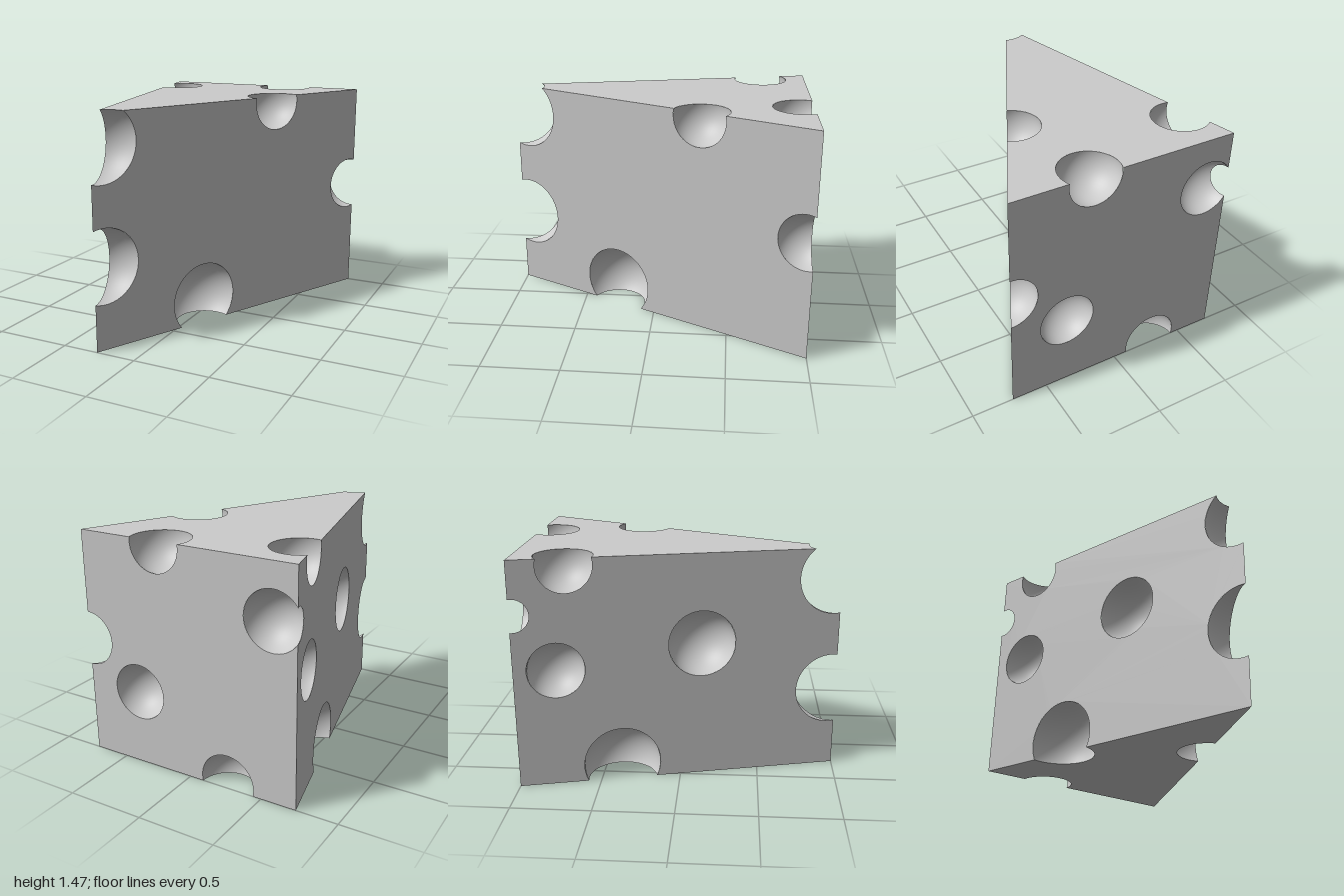
import * as THREE from 'three';

const V = (x, y, z) => new THREE.Vector3(x, y, z);
const HEIGHT = 1.465;

// Wedge outline seen from above: back right, back left, front tip
const OUTLINE = [[-0.733, -1], [0.733, -1], [-0.26, 1]];

// Spherical holes: x, y, z, radius
const HOLES = [
  [-0.2, 1.28, 0.95, 0.245],      // tip, upper
  [-0.2, 0.535, 0.95, 0.243],     // tip, lower
  [0.106, 0.16, 0.26, 0.245],     // left side, bottom edge
  [0.36, 1.425, -0.305, 0.185],   // left side, top edge
  [0.73, 0.77, -0.94, 0.183],     // left back corner
  [0.2, 1.44, -0.925, 0.185],     // back, top edge
  [0.36, 0.485, -1, 0.18],        // back, middle
  [-0.27, 0.04, -1, 0.18],        // back, bottom edge
  [-0.58, 1.125, -1.02, 0.185],   // right back corner
  [-0.58, 1.42, -0.69, 0.185],    // right side, top edge
  [-0.675, 0.767, -0.747, 0.178], // right side, near back
  [-0.463, 0.89, 0.137, 0.213],   // right side, middle
  [-0.584, 0.105, -0.364, 0.245], // right side, bottom edge
].map(([x, y, z, r]) => ({ c: V(x, y, z), r }));

// A flat face with its own 2D axes, from corners listed counter-clockwise
function makeFace(name, corners) {
  const o = corners[0];
  const u = corners[1].clone().sub(o).normalize();
  const n = u.clone().cross(corners[2].clone().sub(o)).normalize();
  const v = n.clone().cross(u);
  const to2D = (p) => {
    const d = p.clone().sub(o);
    return new THREE.Vector2(d.dot(u), d.dot(v));
  };
  const matrix = new THREE.Matrix4().makeBasis(u, v, n).setPosition(o);
  return { name, n, w: n.dot(o), to2D, matrix, poly: corners.map(to2D) };
}

// Clockwise arc between two angles, end points left out
function arc(circle, a0, sweep) {
  const steps = Math.max(2, Math.ceil(sweep / 0.13));
  const pts = [];
  for (let i = 1; i < steps; i++) {
    const a = a0 - (sweep * i) / steps;
    pts.push(new THREE.Vector2(circle.c.x + circle.r * Math.cos(a), circle.c.y + circle.r * Math.sin(a)));
  }
  return pts;
}

// Face polygon with the circles where the spheres cut it taken out
function faceGeometry(face) {
  const circles = [];
  for (const { c, r } of HOLES) {
    const d = face.n.dot(c) - face.w;
    if (Math.abs(d) < r) circles.push({ c: face.to2D(c), r: Math.sqrt(r * r - d * d), onEdge: false });
  }
  // Parts of the border left outside the circles
  const segments = [];
  face.poly.forEach((a, i) => {
    const b = face.poly[(i + 1) % face.poly.length];
    const len = a.distanceTo(b), dir = b.clone().sub(a).divideScalar(len);
    const cuts = [];
    for (const circle of circles) {
      const rel = circle.c.clone().sub(a);
      const mid = rel.dot(dir), off = rel.cross(dir);
      if (Math.abs(off) >= circle.r) continue;
      const half = Math.sqrt(circle.r ** 2 - off ** 2);
      if (mid + half <= 0 || mid - half >= len) continue;
      circle.onEdge = true;
      cuts.push({ t0: mid - half, t1: mid + half, circle });
    }
    cuts.sort((p, q) => p.t0 - q.t0);
    const at = (t) => a.clone().addScaledVector(dir, t);
    let t = 0;
    for (const cut of cuts) {
      if (cut.t0 > t) segments.push({ s: at(t), e: at(cut.t0), circle: cut.circle });
      t = Math.max(t, cut.t1);
    }
    if (t < len) segments.push({ s: at(t), e: at(len), circle: null });
  });
  // Join them with arcs that bite into the face
  const border = [];
  segments.forEach((seg, i) => {
    border.push(seg.s);
    if (!seg.circle) return;
    border.push(seg.e);
    const next = segments[(i + 1) % segments.length].s;
    const a0 = seg.e.clone().sub(seg.circle.c).angle();
    const a1 = next.clone().sub(seg.circle.c).angle();
    border.push(...arc(seg.circle, a0, (a0 - a1 + Math.PI * 2) % (Math.PI * 2)));
  });
  const shape = new THREE.Shape(border);
  // Circles wholly within the face become round holes
  for (const circle of circles) {
    const inside = face.poly.every((a, i) => {
      const b = face.poly[(i + 1) % face.poly.length];
      return b.clone().sub(a).cross(circle.c.clone().sub(a)) > 0;
    });
    if (inside && !circle.onEdge) shape.holes.push(new THREE.Path(arc(circle, 0, Math.PI * 2 + 0.13)
      .slice(0, -1)));
  }
  return new THREE.ShapeGeometry(shape).applyMatrix4(face.matrix);
}

// Keep the part of a polygon behind a face plane
function clip(poly, face) {
  const out = [];
  poly.forEach((p, i) => {
    const q = poly[(i + 1) % poly.length];
    const dp = face.n.dot(p) - face.w, dq = face.n.dot(q) - face.w;
    if (dp <= 0) out.push(p);
    if (dp * dq < 0) out.push(p.clone().lerp(q, dp / (dp - dq)));
  });
  return out;
}

// Inward-facing sphere wall, trimmed to the wedge
function bowlGeometry({ c, r }, faces) {
  const src = new THREE.SphereGeometry(r, 40, 26).translate(c.x, c.y, c.z).toNonIndexed().getAttribute('position');
  const pos = [], nor = [];
  const add = (p) => {
    const n = c.clone().sub(p).normalize();
    pos.push(p.x, p.y, p.z);
    nor.push(n.x, n.y, n.z);
  };
  for (let i = 0; i < src.count; i += 3) {
    let poly = [0, 1, 2].map((k) => new THREE.Vector3().fromBufferAttribute(src, i + k));
    for (const face of faces) poly = clip(poly, face);
    for (let k = 1; k + 1 < poly.length; k++) [poly[0], poly[k + 1], poly[k]].forEach(add);
  }
  const g = new THREE.BufferGeometry();
  g.setAttribute('position', new THREE.Float32BufferAttribute(pos, 3));
  g.setAttribute('normal', new THREE.Float32BufferAttribute(nor, 3));
  return g;
}

export function createModel() {
  const model = new THREE.Group();
  model.name = 'cheeseWedge';
  const material = new THREE.MeshStandardMaterial({ color: 0xcccccc });
  const add = (name, geometry) => {
    const mesh = new THREE.Mesh(geometry, material);
    mesh.name = name;
    model.add(mesh);
  };

  const low = OUTLINE.map(([x, z]) => V(x, 0, z));
  const high = OUTLINE.map(([x, z]) => V(x, HEIGHT, z));
  const side = (i, j) => [low[i], low[j], high[j], high[i]];
  const faces = [
    makeFace('bottomFace', [low[0], low[1], low[2]]),
    makeFace('topFace', [high[0], high[2], high[1]]),
    makeFace('backFace', side(1, 0)),
    makeFace('leftFace', side(2, 1)),
    makeFace('rightFace', side(0, 2)),
  ];

  faces.forEach((face) => add(face.name, faceGeometry(face)));
  HOLES.forEach((hole, i) => add(`hole${i + 1}`, bowlGeometry(hole, faces)));
  return model;
}
